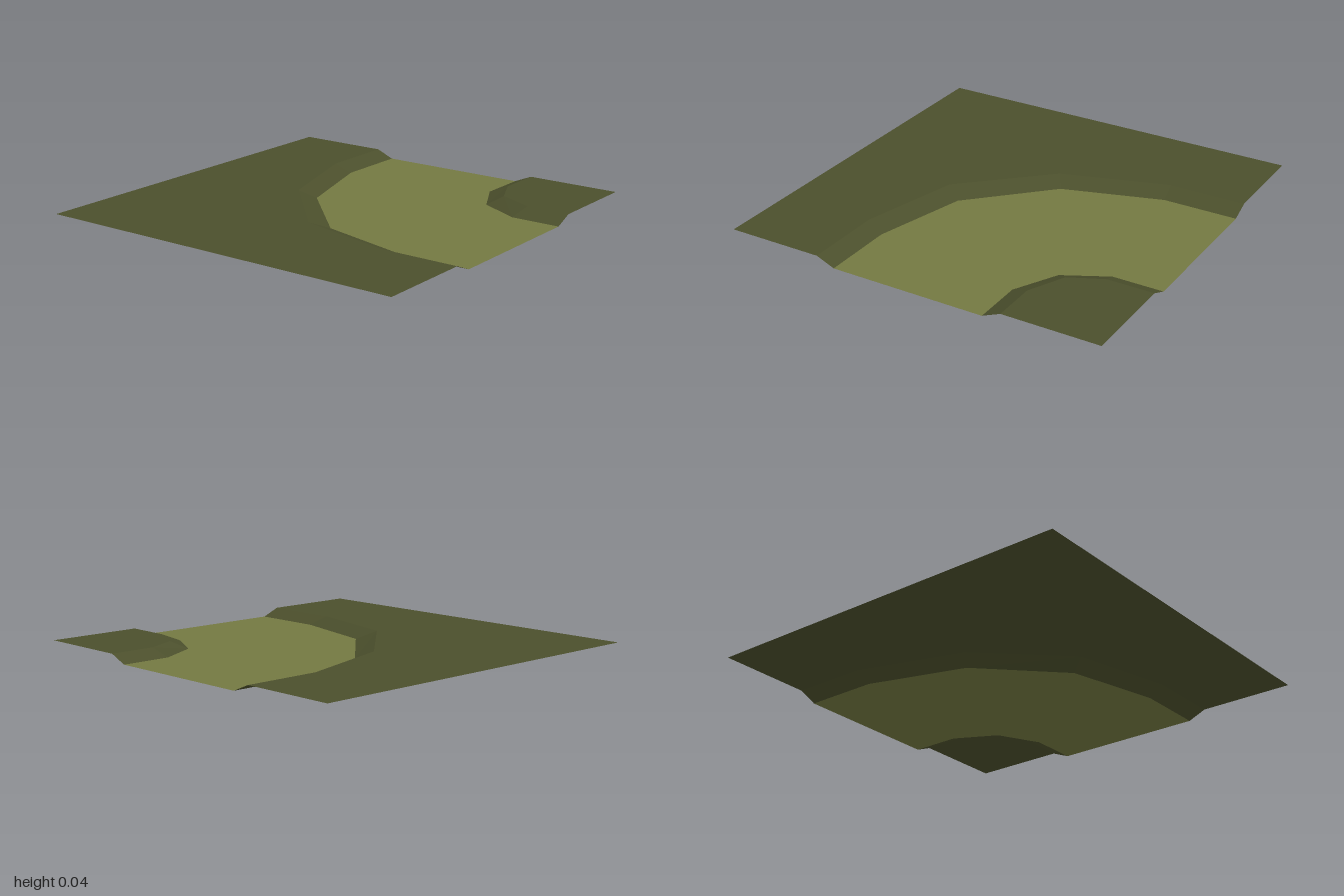
import * as THREE from 'three';

const HIGH = 0.04; // ground level
const LOW = 0; // road bed level

// Bank edges as [x, z], walked from the back side round to the +x side
const outerTop = [[-0.5, -1], [-0.5, -0.6], [-0.325, -0.05], [0.07, 0.37], [0.59, 0.5], [1, 0.5]];
const outerFoot = [[-0.405, -1], [-0.405, -0.61], [-0.245, -0.1], [0.135, 0.28], [0.62, 0.405], [1, 0.405]];
const innerFoot = [[0.405, -1], [0.405, -0.74], [0.52, -0.52], [0.74, -0.405], [1, -0.405]];
const innerTop = [[0.5, -1], [0.5, -0.76], [0.58, -0.59], [0.77, -0.5], [1, -0.5]];

// Flat horizontal area with the given outline
function flatArea(outline, y) {
  const shape = new THREE.Shape(outline.map(([x, z]) => new THREE.Vector2(x, -z)));
  return new THREE.ShapeGeometry(shape).rotateX(-Math.PI / 2).translate(0, y, 0);
}

// Faceted sloping strip between two edges at different heights
function bank(left, yLeft, right, yRight) {
  const positions = [];
  for (let i = 0; i < left.length - 1; i++) {
    const a = [left[i][0], yLeft, left[i][1]];
    const b = [left[i + 1][0], yLeft, left[i + 1][1]];
    const c = [right[i][0], yRight, right[i][1]];
    const d = [right[i + 1][0], yRight, right[i + 1][1]];
    positions.push(...a, ...b, ...c, ...c, ...b, ...d);
  }
  const geometry = new THREE.BufferGeometry();
  geometry.setAttribute('position', new THREE.Float32BufferAttribute(positions, 3));
  geometry.computeVertexNormals();
  return geometry;
}

export function createModel() {
  const grass = new THREE.MeshStandardMaterial({ color: 0x4b4f2c, flatShading: true, side: THREE.DoubleSide });
  grass.name = 'dark olive ground';
  const dirt = new THREE.MeshStandardMaterial({ color: 0x737841, flatShading: true, side: THREE.DoubleSide });
  dirt.name = 'light olive road';

  const group = new THREE.Group();
  group.name = 'curvedRoadTile';
  const add = (name, geometry, material) => {
    const mesh = new THREE.Mesh(geometry, material);
    mesh.name = name;
    group.add(mesh);
  };

  // Raised ground on both sides of the bend
  add('outerGround', flatArea([...outerTop, [1, 1], [-1, 1], [-1, -1]], HIGH), grass);
  add('innerGround', flatArea([...innerTop, [1, -1]], HIGH), grass);

  // Slopes down to the road
  add('outerBank', bank(outerTop, HIGH, outerFoot, LOW), grass);
  add('innerBank', bank(innerFoot, LOW, innerTop, HIGH), grass);

  // Sunken road bed
  add('road', flatArea([...outerFoot, ...[...innerFoot].reverse()], LOW), dirt);

  return group;
}
